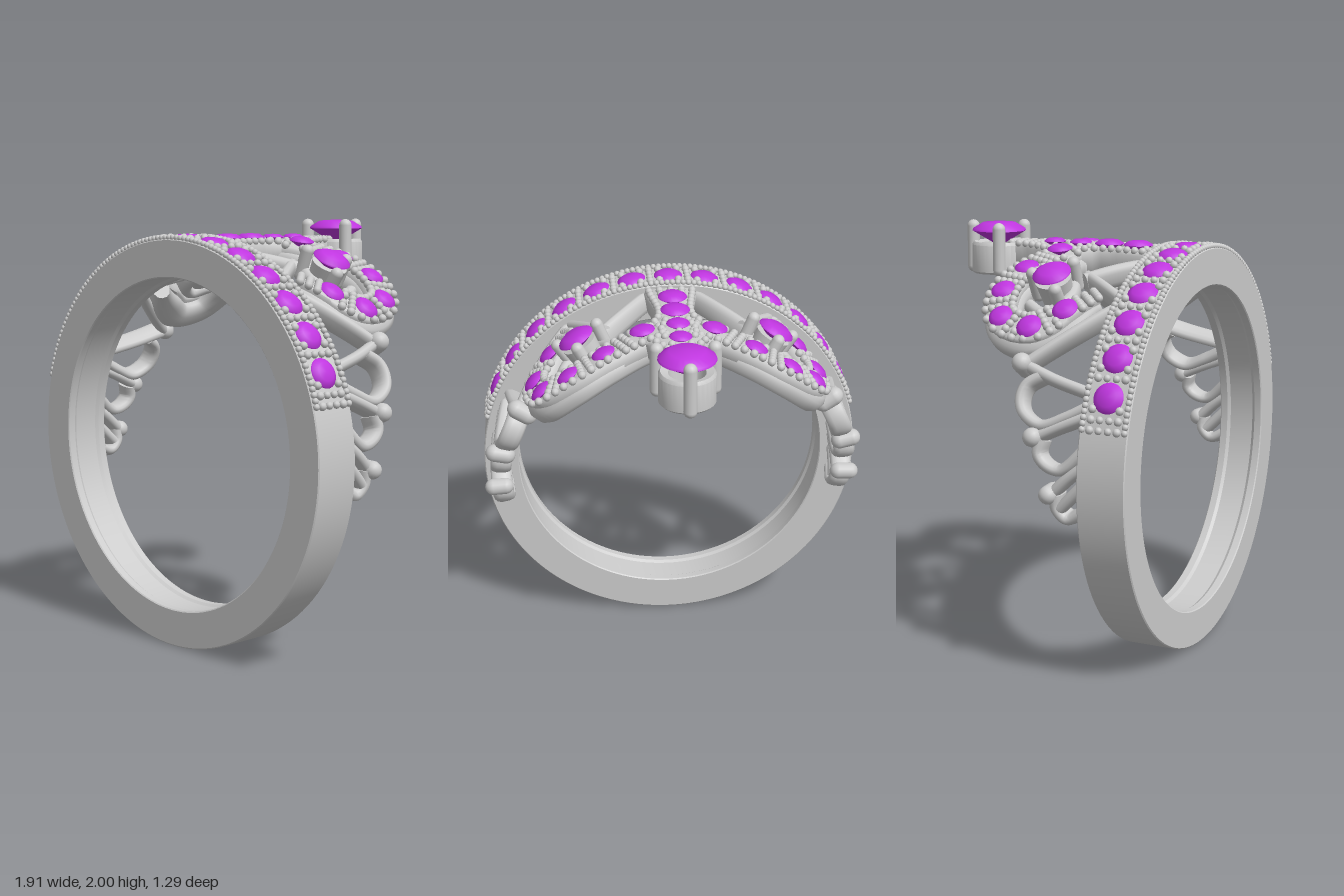
import * as THREE from 'three';
import { mergeGeometries, toCreasedNormals } from 'three/addons/utils/BufferGeometryUtils.js';

const R = 0.957, CY = 0.957; // band outer radius and centre height
const metal = new THREE.MeshStandardMaterial({ color: 0xcccccc });
const stone = new THREE.MeshStandardMaterial({ color: 0xc036e0 });

// Plan coordinates: s = arc length around the band, z = depth, r = distance from the axis
const wrap = (s, z, r) => new THREE.Vector3(r * Math.sin(s / R), CY + r * Math.cos(s / R), z);
const fromX = ([x, z]) => [Math.asin(x / R) * R, z];
const fromDeg = ([d, z]) => [THREE.MathUtils.degToRad(d) * R, z];
const curveOf = pts => new THREE.CatmullRomCurve3(pts.map(([s, z]) => new THREE.Vector3(s, z, 0)), false, 'centripetal');

// Cross-sections as [across, outward]: a flat-topped bar and a rounded wire
const BAR = [[1, .15], [1, .85], [.85, 1], [.4, 1], [0, 1], [-.4, 1], [-.85, 1], [-1, .85], [-1, .15], [-.85, 0], [0, 0], [.85, 0]];
const WIRE = [[1, .3], [1, .7], [.75, .9], [.3, 1], [-.3, 1], [-.75, .9], [-1, .7], [-1, .3], [-.75, .1], [-.3, 0], [.3, 0], [.75, .1]];

export function createModel() {
  const model = new THREE.Group();
  const add = (name, geo, mat = metal) => {
    const m = new THREE.Mesh(geo, mat);
    m.name = name;
    model.add(m);
    return m;
  };
  // Stand a mesh on the band, its y axis pointing outward
  const stand = (mesh, s, z, r) => {
    mesh.position.copy(wrap(s, z, r));
    mesh.rotation.z = -s / R;
    return mesh;
  };

  // Section swept along a plan path, h0 and h1 being its inner and outer radii
  function sweep(section, curve, width, h0, h1, steps) {
    const pos = [], idx = [], n = section.length;
    for (let i = 0; i <= steps; i++) {
      const t = i / steps, p = curve.getPointAt(t), d = curve.getTangentAt(t), w = width(t);
      for (const [a, h] of section)
        pos.push(...wrap(p.x - d.y * a * w, p.y + d.x * a * w, h0 + (h1 - h0) * h).toArray());
      for (let j = 0; j < n && i < steps; j++) {
        const a = i * n + j, b = i * n + (j + 1) % n;
        idx.push(a, a + n, b, b, a + n, b + n);
      }
    }
    const e = steps * n;
    for (let j = 1; j < n - 1; j++) idx.push(0, j, j + 1, e, e + j + 1, e + j);
    const g = new THREE.BufferGeometry();
    g.setAttribute('position', new THREE.Float32BufferAttribute(pos, 3));
    g.setIndex(idx);
    return toCreasedNormals(g, 0.9);
  }

  // Cut stone of girdle radius 1
  const gemGeo = toCreasedNormals(new THREE.LatheGeometry(
    [[0, -.6], [1, 0], [.97, .08], [.62, .29], [0, .33]].map(p => new THREE.Vector2(...p)), 24), 0.7);
  const gem = (name, s, z, r, size) => stand(add(name, gemGeo, stone), s, z, r).scale.setScalar(size);

  // Rows of beads along a path, leaving out those under a stone
  function pave(name, curve, rows, width, gems, r) {
    const beads = [], len = curve.getLength();
    for (const [offset, size, pitch] of rows) {
      const n = Math.round(len / pitch);
      for (let i = 0; i <= n; i++) {
        const t = i / n, p = curve.getPointAt(t), d = curve.getTangentAt(t), w = offset * width(t);
        const s = p.x - d.y * w, z = p.y + d.x * w;
        if (gems.some(g => Math.hypot(g[0] - s, g[1] - z) < g[2] + size * 0.3)) continue;
        const c = wrap(s, z, r);
        beads.push(new THREE.SphereGeometry(size, 8, 6).translate(c.x, c.y, c.z));
      }
    }
    add(name, mergeGeometries(beads));
  }

  // Finger band, slightly hollowed on the inside
  const band = [[.785, -.114], [.952, -.114], [R, -.109], [R, .109], [.952, .114], [.785, .114], [.78, .109],
    [.78, .075], [.79, .06], [.79, -.06], [.78, -.075], [.78, -.109], [.785, -.114]];
  const bandGeo = toCreasedNormals(new THREE.LatheGeometry(band.map(p => new THREE.Vector2(...p)), 128), 0.5);
  const bandMesh = add('band', bandGeo);
  bandMesh.rotation.x = Math.PI / 2;
  bandMesh.position.set(0, CY, 0.531);

  // Stones and beads over the top of the band
  const bandGems = [];
  for (let i = -6; i <= 6; i++) bandGems.push([...fromDeg([i * 10.9, 0.531]), 0.07]);
  bandGems.forEach(g => gem('bandStone', g[0], g[1], R, g[2]));
  pave('bandBeads', curveOf([-74, -37, 0, 37, 74].map(d => fromDeg([d, 0.531]))),
    [[-1, .015, .026], [1, .015, .026], [-.64, .019, .046], [.64, .019, .046], [-.22, .017, .046], [.22, .017, .046]],
    () => 0.1, bandGems, R + 0.007);

  // Centre stem, flaring where the arms leave it
  const stem = curveOf([[0, .43], [0, .03], [0, -.38]]);
  const profile = [.135, .125, .108, .094, .095, .14, .2, .16, .1, .06, .045];
  const stemWidth = t => {
    const k = Math.min(t * 10, 9.999), i = Math.floor(k);
    return THREE.MathUtils.lerp(profile[i], profile[i + 1], k - i);
  };
  const stemGems = [[0, .28, .07], [0, .13, .07], [0, -.02, .055], [0, -.16, .053], [.17, -.05, .06], [-.17, -.05, .06]];
  add('centreStem', sweep(BAR, stem, stemWidth, 0.825, 0.94, 40));
  stemGems.forEach(g => gem('stemStone', g[0], g[1], 0.955, g[2]));
  pave('stemBeads', stem, [-.82, -.42, 0, .42, .82].map(o => [o, .019, .043]), stemWidth, stemGems, 0.943);

  // Large stone at the tip in an open collar with three prongs
  const collar = [[.065, 1.755], [.12, 1.745], [.13, 1.755], [.13, 1.885], [.12, 1.9], [.085, 1.89], [.065, 1.755]];
  add('tipCollar', toCreasedNormals(new THREE.LatheGeometry(collar.map(p => new THREE.Vector2(...p)), 32), 0.6)).position.z = -0.475;
  const tip = add('tipStone', gemGeo, stone);
  tip.position.set(0, 1.953, -0.47);
  tip.scale.setScalar(0.132);
  for (const [x, z] of [[0, -.615], [.13, -.4], [-.13, -.4]])
    add('tipProng', new THREE.CapsuleGeometry(0.031, 0.198, 6, 14)).position.set(x, 1.87, z);

  // Openwork wires beside the band, as [degrees, z]
  const wires = [
    [[8, .43], [15, .3], [23, .17]],
    [[21, .17], [27, .3], [33, .43]],
    [[34, .43], [46, .25], [57, .07]],
    [[64, .43], [60.5, .22], [57, .07]],
    [[60, .16], [63, .1], [67, .085], [71, .11], [74, .2], [71, .32], [67, .43]],
    [[70, .43], [74, .29], [77.5, .18]],
    [[78, .21], [82, .2], [85, .24], [86, .31], [79, .43]],
    [[84, .43], [88, .35], [93, .27]],
    [[93, .29], [97, .29], [100, .34], [97, .43]],
    [[89, .43], [93, .37], [97, .31]],
  ];
  const studs = [[57, .06, .046], [77.5, .175, .044], [93, .26, .042]];
  const armPts = [[.08, -.02], [.17, -.05], [.36, -.13], [.53, -.165], [.66, -.11], [.692, .05], [.61, .19], [.52, .3]];
  const rimPts = [[.1, -.02], [.18, -.04], [.37, -.125], [.54, -.16], [.685, -.1], [.72, .05], [.65, .18], [.53, .3]];
  const curlPts = [[.32, -.09], [.34, .04], [.4, .12], [.53, .13], [.59, .05], [.55, -.04]];
  const armSizes = [0, 0, .057, .057, .057, .06, .06, 0];

  for (const side of [1, -1]) {
    const flip = ([s, z]) => [s * side, z];
    const planCurve = pts => curveOf(pts.map(fromX).map(flip));

    // Curling arm, with a smooth rim outside its beads
    const arm = planCurve(armPts);
    const armWidth = t => 0.074 - 0.04 * THREE.MathUtils.smoothstep(t, 0.78, 1);
    const armGems = armPts.map((p, i) => [...flip(fromX(p)), armSizes[i]]).filter(g => g[2] > 0);
    add('scrollArm', sweep(BAR, arm, armWidth, 0.85, 0.925, 60));
    add('scrollRim', sweep(WIRE, planCurve(rimPts), t => armWidth(t) + 0.01, 0.79, 0.91, 60));
    armGems.forEach(g => gem('armStone', g[0], g[1], 0.94, g[2]));
    pave('armBeads', arm, [-.88, -.44, 0, .44, .88].map(o => [o, .02, .044]), armWidth, [...armGems, ...stemGems], 0.932);

    // Stone in the curl with its cup, prongs and the curled wire that carries it
    const [cs, cz] = flip(fromX([.46, .06]));
    stand(add('curlCup', new THREE.CylinderGeometry(0.085, 0.07, 0.13, 24)), cs, cz, 0.89);
    gem('curlStone', cs, cz, 0.982, 0.09);
    for (const [ds, dz] of [[.105, .06], [-.105, .06], [0, -.1]])
      stand(add('curlProng', new THREE.CapsuleGeometry(0.03, 0.12, 5, 12)), cs + ds, cz + dz, 0.915);
    add('curlSupport', sweep(WIRE, planCurve(curlPts), () => 0.03, 0.82, 0.9, 32));

    // Openwork wires and rounded studs at their tips
    for (const w of wires)
      add('openworkWire', sweep(WIRE, curveOf(w.map(fromDeg).map(flip)), () => 0.028, 0.82, 0.925, 8 * (w.length - 1)));
    for (const [d, z, size] of studs)
      stand(add('openworkStud', new THREE.CapsuleGeometry(size, 0.06, 6, 14)), ...flip(fromDeg([d, z])), 0.885);
  }
  return model;
}
